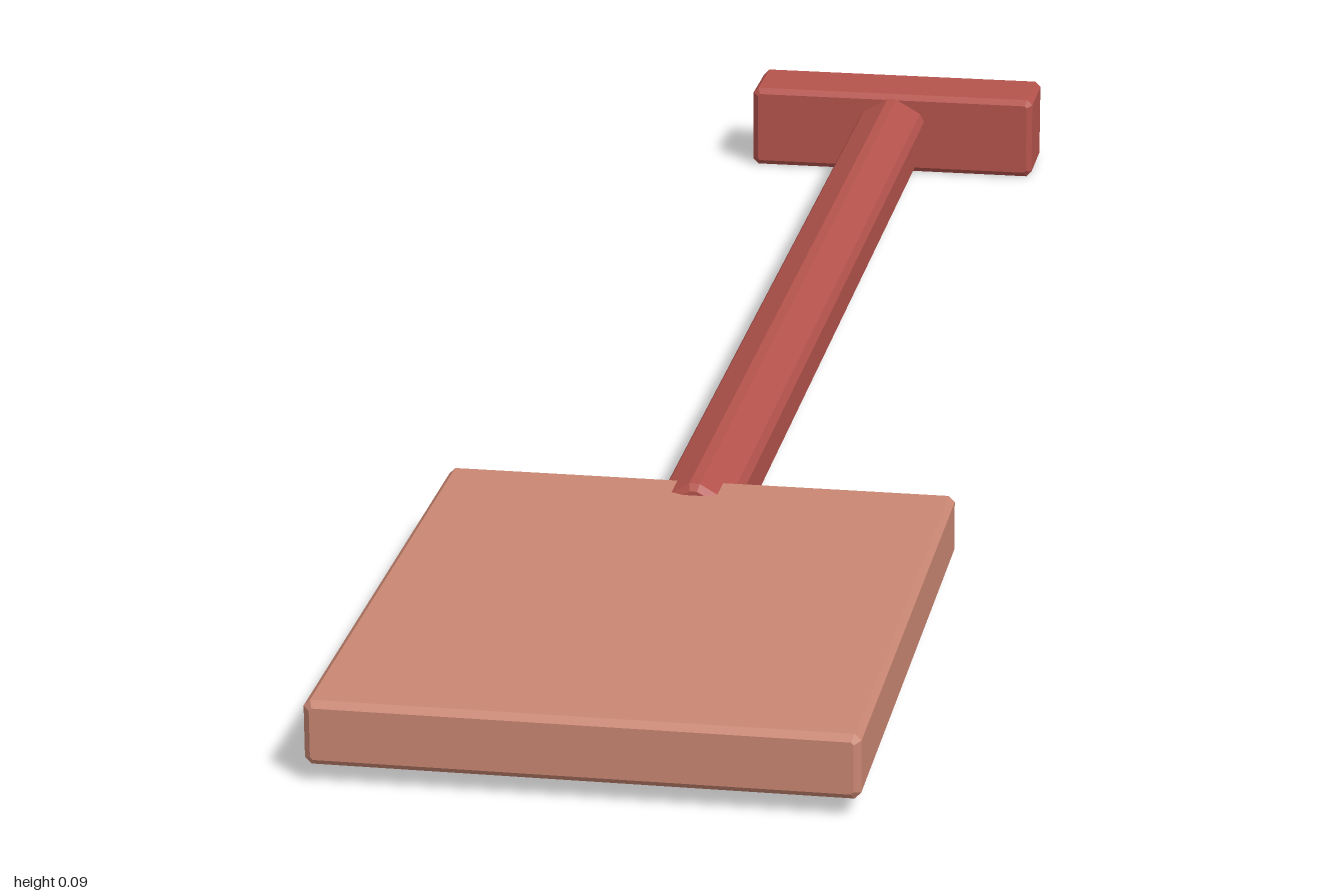
import * as THREE from 'three';

// Prism along z between z0 and z1, with every edge chamfered
function chamferedPrism(corners, cut, z0, z1) {
  const outline = [];
  corners.forEach((p, i) => {
    const prev = corners[(i + corners.length - 1) % corners.length];
    const next = corners[(i + 1) % corners.length];
    for (const q of [prev, next]) {
      outline.push(p.clone().add(q.clone().sub(p).setLength(cut)));
    }
  });
  const geometry = new THREE.ExtrudeGeometry(new THREE.Shape(outline), {
    depth: z1 - z0 - 2 * cut,
    bevelEnabled: true,
    bevelSegments: 1,
    bevelThickness: cut,
    bevelSize: cut,
    bevelOffset: -cut,
  });
  return geometry.translate(0, 0, z0 + cut);
}

function rectangle(halfWidth, y0, y1) {
  return [[-halfWidth, y0], [halfWidth, y0], [halfWidth, y1], [-halfWidth, y1]]
    .map(([x, y]) => new THREE.Vector2(x, y));
}

// Hexagon with a corner pointing straight up
function hexagon(radius, centreY) {
  return Array.from({ length: 6 }, (_, i) => {
    const a = Math.PI / 2 + (i * Math.PI) / 3;
    return new THREE.Vector2(radius * Math.cos(a), centreY + radius * Math.sin(a));
  });
}

export function createModel() {
  const group = new THREE.Group();
  group.name = 'shovel';

  const red = new THREE.MeshStandardMaterial({ color: 0xb5534c });
  red.name = 'handle red';
  const clay = new THREE.MeshStandardMaterial({ color: 0xc98672 });
  clay.name = 'blade clay';

  const add = (name, geometry, material) => {
    const mesh = new THREE.Mesh(geometry, material);
    mesh.name = name;
    group.add(mesh);
  };

  // Flat rectangular blade at the front
  add('blade', chamferedPrism(rectangle(0.249, 0.017, 0.078), 0.006, 0.38, 1), clay);
  // Hexagonal shaft, its tip sunk into the blade
  add('shaft', chamferedPrism(hexagon(0.0445, 0.0465), 0.006, -0.93, 0.425), red);
  // Crossbar grip at the back
  add('grip', chamferedPrism(rectangle(0.165, 0, 0.093), 0.006, -1, -0.91), red);

  return group;
}
